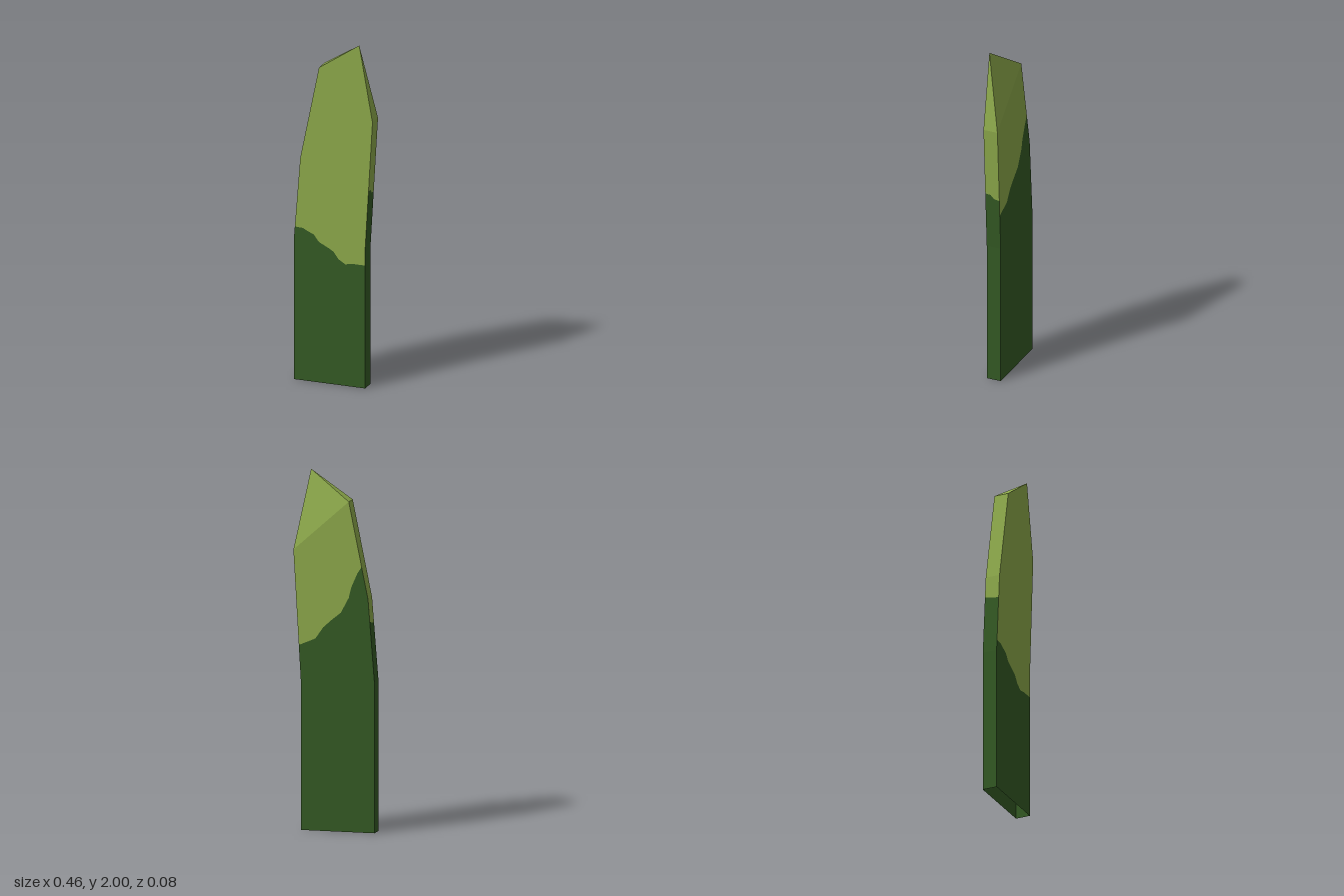
import * as THREE from 'three';

const D = 0.042; // half thickness

// Outline edges as [x, y] from bottom to top
const LEFT = [[-0.232, 0], [-0.232, 0.83], [-0.195, 1.3], [-0.085, 1.84]];
const RIGHT = [[0.187, 0], [0.187, 0.82], [0.23, 1.56], [0.152, 2]];
const TIP = RIGHT[3], SHOULDER = LEFT[3], HIP = RIGHT[2];

// x of an outline edge at height y
function edgeX(edge, y) {
  let i = 0;
  while (i < edge.length - 2 && y > edge[i + 1][1]) i++;
  const [x0, y0] = edge[i], [x1, y1] = edge[i + 1];
  return x0 + (x1 - x0) * (y - y0) / (y1 - y0);
}

// Flat polygon drawn in 2D, then placed in space by a rule
function panel(name, material, points, place) {
  const shape = new THREE.Shape(points.map(([u, v]) => new THREE.Vector2(u, v)));
  const geometry = new THREE.ShapeGeometry(shape).toNonIndexed();
  const pos = geometry.attributes.position;
  for (let i = 0; i < pos.count; i++) pos.setXYZ(i, ...place(pos.getX(i), pos.getY(i)));
  geometry.computeVertexNormals();
  const mesh = new THREE.Mesh(geometry, material);
  mesh.name = name;
  return mesh;
}

export function createModel() {
  const group = new THREE.Group();
  group.name = 'leafBlade';
  const dark = new THREE.MeshStandardMaterial({ color: 0x345a24, side: THREE.DoubleSide });
  dark.name = 'dark green';
  const light = new THREE.MeshStandardMaterial({ color: 0x8da94b, side: THREE.DoubleSide });
  light.name = 'light green';
  const add = (...args) => group.add(panel(...args));

  // Front face, split along a wavy colour line
  const onFront = (u, v) => [u, v, D];
  const frontLine = [
    [edgeX(LEFT, 0.893), 0.893], [-0.18, 0.89], [-0.15, 0.875], [-0.115, 0.86], [-0.085, 0.82],
    [-0.03, 0.793], [0, 0.775], [0.03, 0.735], [0.07, 0.71], [0.11, 0.718], [0.187, 0.718],
  ];
  add('frontBase', dark, [RIGHT[0], LEFT[0], LEFT[1], ...frontLine], onFront);
  add('frontTip', light, [...frontLine, RIGHT[1], HIP, TIP, SHOULDER, LEFT[2]], onFront);

  // Back face, with its own colour line and a slanted facet up to the tip
  const mirror = ([x, y]) => [-x, y];
  const onBack = (u, v) => [-u, v, -D];
  const backLine = [
    [edgeX(RIGHT, 1.03), 1.03], [0.105, 1.07], [0.06, 1.135], [0.01, 1.18], [-0.04, 1.22],
    [-0.085, 1.305], [-0.1, 1.365], [-0.135, 1.445], [edgeX(LEFT, 1.48), 1.48],
  ];
  add('backBase', dark,
    [LEFT[0], RIGHT[0], RIGHT[1], ...backLine, LEFT[2], LEFT[1]].map(mirror), onBack);
  add('backTip', light, [...backLine, SHOULDER, HIP].map(mirror), onBack);
  add('backFacet', light, [SHOULDER, TIP, HIP].map(mirror),
    (u, v) => [-u, v, v > 1.9 ? D : -D]);

  // Narrow sides, one flat facet per outline segment; lines run from front to back
  const level = (y) => [[D, y], [-D, y]];
  const side = (name, edge, sign, facets) => {
    for (const [material, low, high] of facets) {
      const points = [...low, ...[...high].reverse()].map(([z, y]) => [-sign * z, y]);
      add(name, material, points, (u, v) => [edgeX(edge, v), v, -sign * u]);
    }
  };
  const rightLine = [[D, 1.155], [0.01, 1.152], [-0.01, 1.13], [-D, 1.125]];
  side('plusXSide', RIGHT, 1, [
    [dark, level(0), level(0.82)],
    [dark, level(0.82), rightLine],
    [light, rightLine, level(1.56)],
    [light, level(1.56), [[D, 2]]],
  ]);
  const leftLine = [[D, 1.16], [-D, 1.175]];
  side('minusXSide', LEFT, -1, [
    [dark, level(0), level(0.83)],
    [dark, level(0.83), leftLine],
    [light, leftLine, level(1.3)],
    [light, level(1.3), level(1.84)],
  ]);

  // Sloping top cap; the bottom stays open
  const slope = (TIP[1] - SHOULDER[1]) / (TIP[0] - SHOULDER[0]);
  add('topCap', light, [[SHOULDER[0], -D], [TIP[0], -D], [SHOULDER[0], D]],
    (u, v) => [u, SHOULDER[1] + slope * (u - SHOULDER[0]), -v]);

  return group;
}
